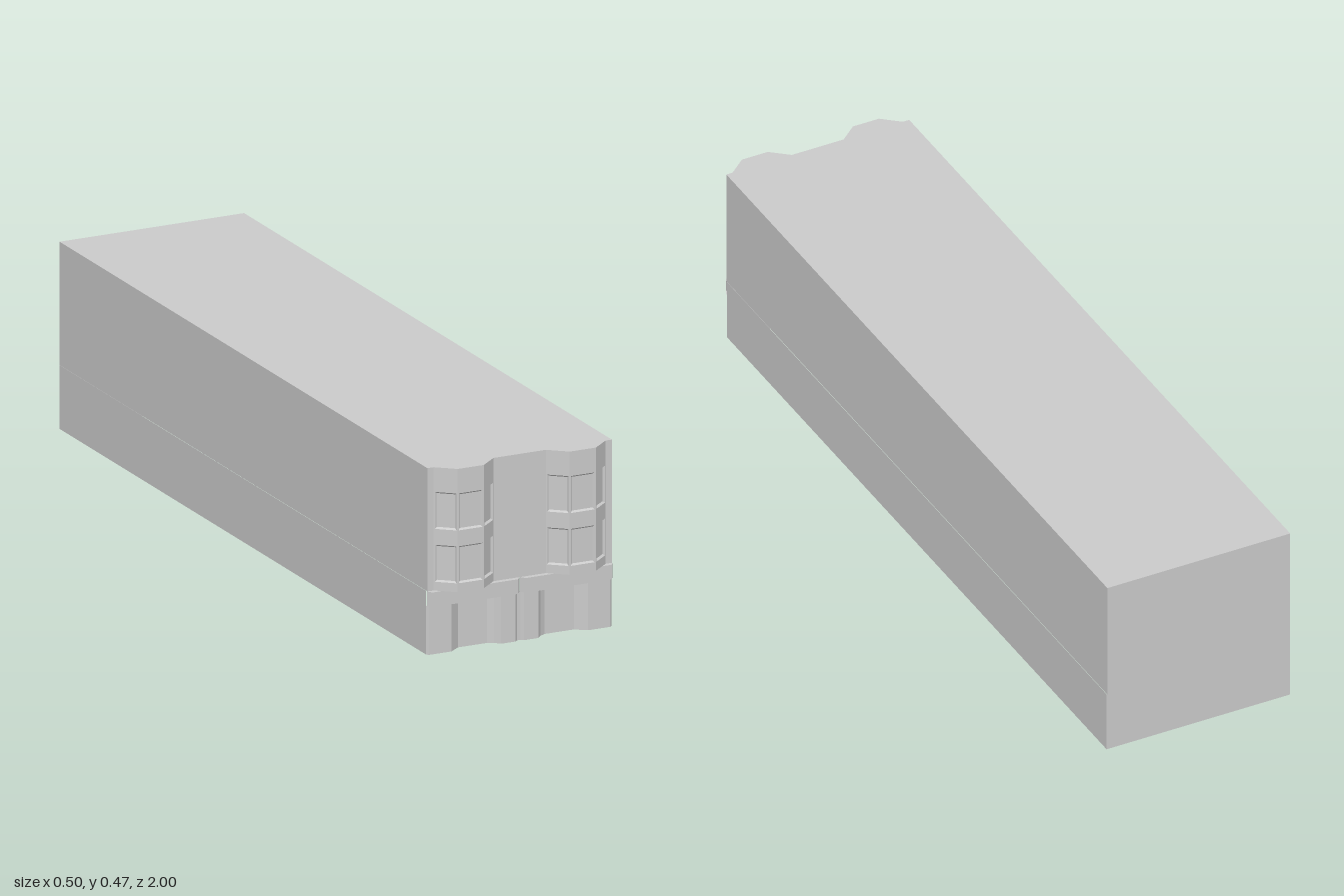
import * as THREE from 'three';

const material = new THREE.MeshStandardMaterial({ color: 0xcccccc, side: THREE.DoubleSide });
const ROOF = 0.47, FLOOR = 0.16, FASCIA = 0.123, FRONT = 0.962;

function quads(list) {
  const pos = [];
  for (const [a, b, c, d] of list) pos.push(...a, ...b, ...c, ...a, ...c, ...d);
  const g = new THREE.BufferGeometry();
  g.setAttribute('position', new THREE.Float32BufferAttribute(pos, 3));
  g.computeVertexNormals();
  return g;
}

function add(parent, name, geometry) {
  const mesh = new THREE.Mesh(geometry, material);
  mesh.name = name;
  parent.add(mesh);
  return mesh;
}

// Upright wall following a plan path of [x, z] points
function wall(path, y0, y1) {
  return quads(path.slice(1).map(([x, z], i) => {
    const [px, pz] = path[i];
    return [[px, y0, pz], [x, y0, z], [x, y1, z], [px, y1, pz]];
  }));
}

// Level surface filling a plan outline
function slab(path, y) {
  const shape = new THREE.Shape(path.map(([x, z]) => new THREE.Vector2(x, -z)));
  return new THREE.ShapeGeometry(shape).rotateX(-Math.PI / 2).translate(0, y, 0);
}

const mirror = path => path.map(([x, z]) => [-x, z]).reverse();

// One bay face with two recessed windows, built flat and turned into place
function bayFace(parent, [x0, z0], [x1, z1]) {
  const w = Math.hypot(x1 - x0, z1 - z0);
  const face = new THREE.Group();
  face.name = 'bayFace';
  face.position.set(x0, 0, z0);
  face.rotation.y = -Math.atan2(z1 - z0, x1 - x0);
  parent.add(face);

  const rect = (l, b, r, t, z) => [[l, b, z], [r, b, z], [r, t, z], [l, t, z]];
  const shape = new THREE.Shape(rect(0, FLOOR, w, ROOF).map(p => new THREE.Vector2(p[0], p[1])));
  const m = 0.003, bevel = 0.004, depth = -0.005;
  for (const [b, t] of [[0.182, 0.275], [0.315, 0.408]]) {
    const outer = rect(m, b, w - m, t, 0);
    const inner = rect(m + bevel, b + bevel, w - m - bevel, t - bevel, depth);
    shape.holes.push(new THREE.Path(outer.map(p => new THREE.Vector2(p[0], p[1]))));
    const reveal = outer.map((p, i) => [p, outer[(i + 1) % 4], inner[(i + 1) % 4], inner[i]]);
    add(face, 'windowReveal', quads(reveal));
    add(face, 'windowPane', quads([inner]));
  }
  add(face, 'windowSurround', new THREE.ShapeGeometry(shape));
}

export function createModel() {
  const model = new THREE.Group();
  model.name = 'terraceBuilding';

  // Plan outlines, given for the +x half and mirrored
  const bay = [[0.07, FRONT], [0.115, 1], [0.185, 1], [0.23, FRONT]];
  const bays = [mirror(bay), bay];
  const fascia = [[0.001, FRONT], [0.01, 0.975], [0.24, 0.975], [0.2485, FRONT]];
  const shop = [[0, 0.957], [0.005, 0.957], [0.011, 0.963], [0.05, 0.963], [0.062, 0.95], [0.077, 0.942],
    [0.155, 0.942], [0.183, 0.963], [0.243, 0.963], [0.248, 0.957]];

  // Plain upper and lower walls, open underneath
  add(model, 'upperWalls', wall([[0.247, FRONT], [0.247, -1], [-0.247, -1], [-0.247, FRONT]], FLOOR, ROOF));
  add(model, 'lowerWalls', wall([[0.248, 0.957], [0.248, -0.998], [-0.248, -0.998], [-0.248, 0.957]], 0, FLOOR));
  const front = [[-0.247, FRONT], ...bays[0], ...bays[1], [0.247, FRONT]];
  add(model, 'roof', slab([...front, [0.247, -1], [-0.247, -1]], ROOF));

  // Upper front: flat strips between two window bays
  for (const [a, b] of [[-0.247, -0.23], [-0.07, 0.07], [0.23, 0.247]]) {
    add(model, 'frontWall', wall([[a, FRONT], [b, FRONT]], FLOOR, ROOF));
  }
  for (const path of bays) {
    const group = new THREE.Group();
    group.name = 'bayWindow';
    model.add(group);
    for (let i = 0; i < 3; i++) bayFace(group, path[i], path[i + 1]);
    add(group, 'bayUnderside', slab(path, FLOOR + 0.001));
  }

  // Ground floor: two shopfronts with recessed doorways under chamfered fascias
  for (const side of [-1, 1]) {
    const group = new THREE.Group();
    group.name = 'shop';
    model.add(group);
    const place = path => (side > 0 ? path : mirror(path));
    add(group, 'fascia', wall(place(fascia), FASCIA, FLOOR));
    add(group, 'fasciaTop', slab(place(fascia), FLOOR));
    const soffit = [...fascia, ...shop.slice().reverse()];
    add(group, 'fasciaUnderside', slab(place(soffit), FASCIA));
    add(group, 'shopfront', wall(place(shop), 0, FASCIA));
  }
  return model;
}
